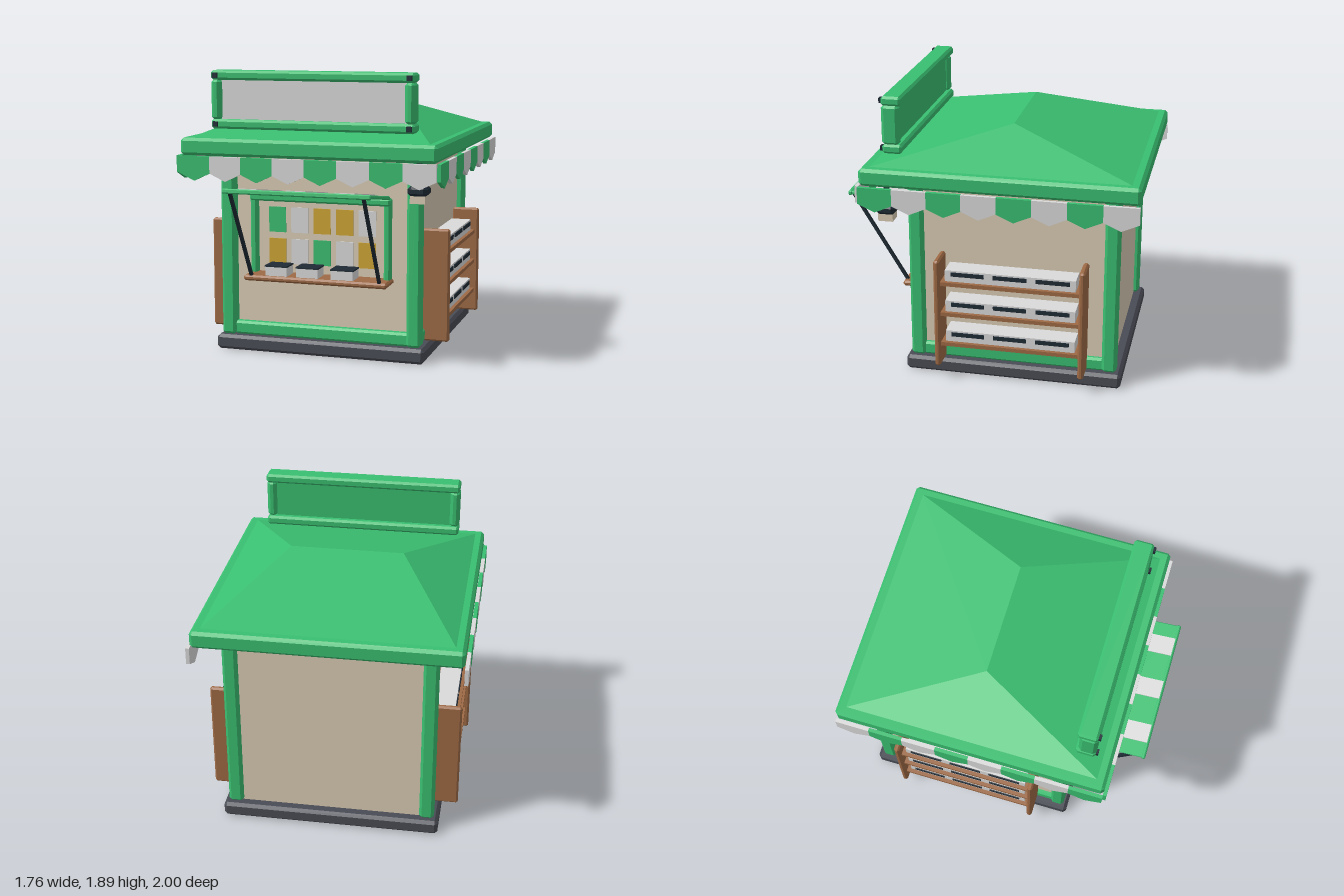
import * as THREE from 'three';
import { ConvexGeometry } from 'three/addons/geometries/ConvexGeometry.js';

const mat = (name, color) => {
  const m = new THREE.MeshStandardMaterial({ color, flatShading: true });
  m.name = name;
  return m;
};

export function createModel() {
  const green = mat('green paint', 0x3abf71);
  const white = mat('white', 0xdadada);
  const tan = mat('tan wall', 0xdbcdb5);
  const brown = mat('brown wood', 0x9e6a45);
  const dark = mat('dark metal', 0x1f2b35);
  const grey = mat('base grey', 0x4a4c55);
  const gold = mat('gold', 0xcfa734);

  const model = new THREE.Group();
  model.name = 'marketKiosk';

  const add = (name, geo, material, parent = model) => {
    const mesh = new THREE.Mesh(geo, material);
    mesh.name = name;
    parent.add(mesh);
    return mesh;
  };

  // Box given by its extents; c > 0 cuts every edge with a chamfer
  const box = (name, material, [x0, x1], [y0, y1], [z0, z1], c = 0, parent = model) => {
    const h = [(x1 - x0) / 2, (y1 - y0) / 2, (z1 - z0) / 2];
    let geo;
    if (c) {
      const pts = [];
      for (const sx of [-1, 1]) for (const sy of [-1, 1]) for (const sz of [-1, 1])
        for (let full = 0; full < 3; full++) {
          const v = h.map((d, i) => (i === full ? d : d - c));
          pts.push(new THREE.Vector3(v[0] * sx, v[1] * sy, v[2] * sz));
        }
      geo = new ConvexGeometry(pts);
    } else geo = new THREE.BoxGeometry(h[0] * 2, h[1] * 2, h[2] * 2);
    const mesh = add(name, geo, material, parent);
    mesh.position.set((x0 + x1) / 2, (y0 + y1) / 2, (z0 + z1) / 2);
    return mesh;
  };
  // Range on the left (s = 1) or right (s = -1) side
  const side = (s, a, b) => (s > 0 ? [a, b] : [-b, -a]);

  // Base, walls, posts and skirting rails
  box('base', grey, [-0.722, 0.722], [0, 0.1], [-0.895, 0.555], 0.02);
  box('walls', tan, [-0.645, 0.645], [0.1, 1.35], [-0.825, 0.455]);
  for (const s of [-1, 1]) {
    box('frontPost', green, side(s, 0.595, 0.692), [0.1, 1.35], [0.43, 0.525], 0.018);
    box('backPost', green, side(s, 0.595, 0.692), [0.1, 1.35], [-0.862, -0.765], 0.018);
    box('sideRail', green, side(s, 0.61, 0.675), [0.1, 0.19], [-0.78, 0.45], 0.015);
  }
  box('frontRail', green, [-0.61, 0.61], [0.1, 0.19], [0.42, 0.505], 0.015);

  // Roof: eave slab and hipped top
  box('eave', green, [-0.857, 0.857], [1.345, 1.46], [-1, 0.8], 0.02);
  const hip = [];
  for (const s of [-1, 1]) hip.push(
    new THREE.Vector3(s * 0.8, 1.458, 0.745),
    new THREE.Vector3(s * 0.8, 1.458, -0.945),
    new THREE.Vector3(s * 0.375, 1.675, -0.115));
  add('hipRoof', new ConvexGeometry(hip), green);

  // Striped valances made of pointed flaps
  const flap = (w) => {
    const sh = new THREE.Shape();
    sh.moveTo(-w / 2, 0);
    sh.lineTo(-w / 2, -0.11);
    sh.lineTo(0, -0.16);
    sh.lineTo(w / 2, -0.11);
    sh.lineTo(w / 2, 0);
    return new THREE.ExtrudeGeometry(sh, { depth: 0.024, bevelEnabled: false });
  };
  const frontFlap = flap(1.714 / 8);
  const sideFlap = flap(1.8 / 8);
  for (let i = 0; i < 8; i++) {
    const m = i % 2 ? white : green;
    add('frontValance', frontFlap, m).position.set(-0.857 + (i + 0.5) * 1.714 / 8, 1.345, 0.798);
    for (const s of [-1, 1]) {
      const f = add('sideValance', sideFlap, m);
      f.rotation.y = Math.PI / 2;
      f.position.set(s > 0 ? 0.857 : -0.881, 1.345, 0.8 - (i + 0.5) * 0.225);
    }
  }

  // Blank sign board above the roof
  const sign = new THREE.Group();
  sign.name = 'signBoard';
  model.add(sign);
  box('signBacking', green, [-0.63, 0.63], [1.56, 1.845], [0.6, 0.64], 0, sign);
  box('signFace', white, [-0.622, 0.622], [1.565, 1.84], [0.64, 0.648], 0, sign);
  for (const y of [1.545, 1.862]) {
    box('signRail', green, [-0.683, 0.683], [y - 0.031, y + 0.031], [0.557, 0.688], 0.015, sign);
    for (const x of [-0.65, 0.65])
      box('signBolt', dark, [x - 0.017, x + 0.017], [y - 0.017, y + 0.017], [0.68, 0.703], 0, sign);
  }
  for (const s of [-1, 1])
    box('signSide', green, side(s, 0.617, 0.684), [1.568, 1.838], [0.572, 0.69], 0.022, sign);

  // Serving window: frame, posters, counter and trays
  for (const s of [-1, 1])
    box('windowJamb', green, side(s, 0.44, 0.483), [0.53, 1.05], [0.45, 0.515], 0.01);
  box('windowHead', green, [-0.485, 0.485], [1.025, 1.075], [0.45, 0.525], 0.012);
  [[green, white, gold, gold, white], [gold, white, green, white, gold]].forEach((row, r) =>
    row.forEach((m, i) => {
      const x = (i - 2) * 0.156 + 0.003, y = r ? 0.683 : 0.896;
      box('poster', m, [x - 0.059, x + 0.059], [y - 0.085, y + 0.085], [0.456, 0.464]);
    }));
  box('counter', brown, [-0.493, 0.493], [0.503, 0.54], [0.44, 0.632], 0.012);
  for (const x of [-0.27, -0.055, 0.185]) {
    box('counterTray', white, [x - 0.075, x + 0.075], [0.54, 0.6], [0.48, 0.608]);
    box('trayLid', dark, [x - 0.078, x + 0.078], [0.6, 0.609], [0.477, 0.611]);
  }

  // Raised hatch with stripes, held by two struts
  const hatch = new THREE.Group();
  hatch.name = 'hatch';
  hatch.position.set(0, 1.118, 0.757);
  hatch.rotation.x = -0.15;
  model.add(hatch);
  box('hatchPanel', green, [-0.485, 0.485], [-0.012, 0.012], [-0.24, 0.24], 0.006, hatch);
  box('hatchFrontTrim', green, [-0.49, 0.49], [-0.018, 0.014], [0.215, 0.242], 0.007, hatch);
  for (const x of [-0.32, 0, 0.32])
    box('hatchStripe', white, [x - 0.064, x + 0.064], [0.011, 0.019], [-0.235, 0.23], 0, hatch);
  for (const x of [-0.44, 0.44]) {
    const a = new THREE.Vector3(x, 1.14, 0.975), b = new THREE.Vector3(x, 0.53, 0.608);
    const strut = add('strut', new THREE.BoxGeometry(0.02, 0.02, a.distanceTo(b)), dark);
    strut.position.copy(a).lerp(b, 0.5);
    strut.lookAt(b);
  }

  // Goods shelves on both sides
  for (const s of [-1, 1]) {
    for (const z of [0.306, -0.646])
      box('shelfEnd', brown, side(s, 0.645, 0.836), [0.105, 0.86], [z - 0.019, z + 0.019], 0.012);
    for (const y of [0.26, 0.476, 0.692]) {
      box('shelf', brown, side(s, 0.64, 0.81), [y - 0.013, y + 0.013], [-0.64, 0.3]);
      box('shelfCrate', white, side(s, 0.64, 0.785), [y + 0.013, y + 0.09], [-0.6, 0.26]);
      for (const z of [0.11, -0.17, -0.452])
        box('crateLabel', dark, side(s, 0.784, 0.792), [y + 0.052, y + 0.079], [z - 0.11, z + 0.11]);
    }
  }

  // Hanging lamp under the eave
  const lamp = new THREE.Group();
  lamp.name = 'lamp';
  lamp.position.set(0.71, 0, 0.655);
  model.add(lamp);
  box('lampStem', dark, [-0.015, 0.015], [1.18, 1.35], [-0.015, 0.015], 0, lamp);
  box('lampHousing', dark, [-0.065, 0.065], [1.12, 1.197], [-0.065, 0.065], 0.025, lamp);
  box('lampGlass', tan, [-0.049, 0.049], [1.08, 1.13], [-0.049, 0.049], 0, lamp);

  return model;
}
